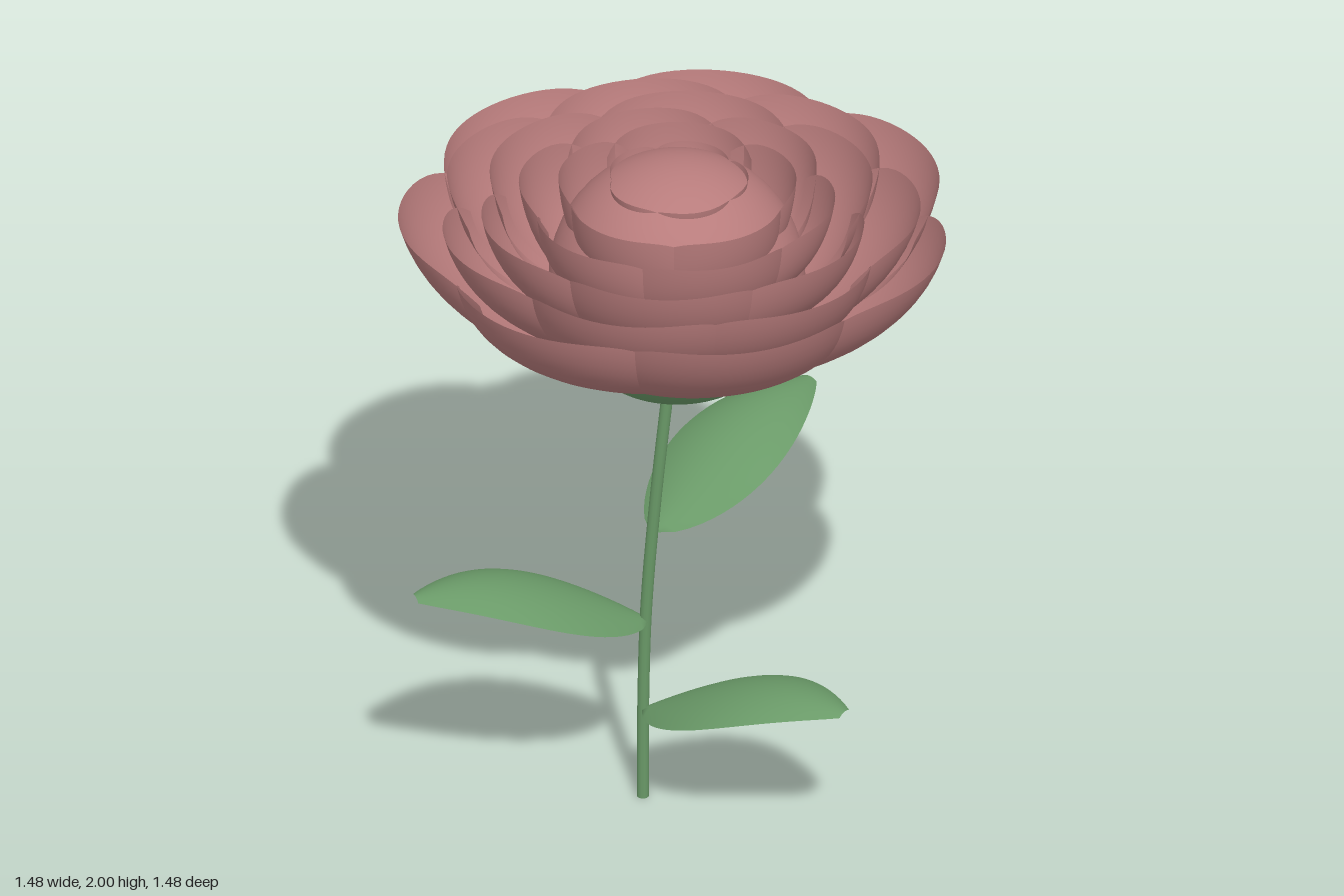
import * as THREE from 'three';
import { ParametricGeometry } from 'three/addons/geometries/ParametricGeometry.js';

const pink = new THREE.MeshStandardMaterial({ color: 0xb87c7c, side: THREE.DoubleSide });
pink.name = 'petalPink';
const green = new THREE.MeshStandardMaterial({ color: 0x6a9a68, side: THREE.DoubleSide });
green.name = 'leafGreen';

const rad = THREE.MathUtils.degToRad;
const BUD = { y: 1.655, r: 0.345 };

function add(parent, name, geometry, material) {
  const mesh = new THREE.Mesh(geometry, material);
  mesh.name = name;
  parent.add(mesh);
  return mesh;
}

// One cupped petal around +x: u runs across it, v from base to rim
function petalGeometry({ R, Y, rb, y0, n }) {
  const half = Math.PI / n * 1.2;
  return new ParametricGeometry((s, t, p) => {
    const u = s * 2 - 1;
    const v = t * (1 - 0.13 * Math.pow(Math.abs(u), 5)); // rounded rim corners
    const r = (rb + (R - rb) * Math.sin(v * 1.3) / Math.sin(1.3)) * (1 - 0.13 * u * u * v);
    const y = y0 + (Y - y0) * Math.pow(v, 1.8);
    p.set(r * Math.cos(u * half), y, r * Math.sin(u * half));
  }, 24, 14);
}

// Arched leaf pointing along +x from its base, edges drooping
function leafGeometry(length, rise, halfWidth) {
  return new ParametricGeometry((s, t, p) => {
    const u = s * 2 - 1;
    const w = halfWidth * Math.pow(Math.sin(Math.PI * (0.015 + 0.955 * Math.pow(t, 0.85))), 0.8);
    const k = w / halfWidth;
    const y = rise * (Math.sin(t * 1.95) / Math.sin(1.95)) - 0.05 * u * u * k;
    p.set(length * t, y, u * w);
  }, 12, 24);
}

export function createModel() {
  const model = new THREE.Group();
  model.name = 'flower';

  // Round bud in the middle of the bloom
  add(model, 'bud', new THREE.SphereGeometry(BUD.r, 48, 32), pink).position.y = BUD.y;

  // Rings of overlapping petals, outside to inside; a = angle of one overlap
  const rings = [
    { R: 0.75, Y: 1.85, rb: 0.27, y0: 1.515, n: 7, a: 84 },
    { R: 0.655, Y: 1.88, rb: 0.27, y0: 1.57, n: 7, a: 64 },
    { R: 0.545, Y: 1.905, rb: 0.28, y0: 1.63, n: 6, a: 110 },
    { R: 0.43, Y: 1.925, rb: 0.27, y0: 1.69, n: 6, a: 28 },
    { R: 0.325, Y: 1.94, rb: 0.24, y0: 1.74, n: 5, a: 292 },
    { R: 0.192, Y: 1.962, rb: 0.13, y0: 1.85, n: 5, a: 20 },
  ];
  rings.forEach((ring, i) => {
    const group = new THREE.Group();
    group.name = 'petalRing' + (i + 1);
    const geometry = petalGeometry(ring);
    for (let k = 0; k < ring.n; k++) {
      const petal = add(group, 'petal', geometry, pink);
      petal.rotation.y = -(rad(ring.a) + (k + 0.5) * Math.PI * 2 / ring.n);
    }
    model.add(group);
  });

  // Scalloped green band hugging the underside of the bud
  add(model, 'calyx', new ParametricGeometry((s, t, p) => {
    const a = s * Math.PI * 2;
    const top = 1.453 + 0.009 * Math.cos(a * 20);
    const y = 1.375 + (top - 1.375) * t;
    const r = Math.sqrt(BUD.r ** 2 - (y - BUD.y) ** 2) + 0.007;
    p.set(r * Math.cos(a), y, r * Math.sin(a));
  }, 160, 6), green);

  // Gently curved stem with a closed foot
  const path = new THREE.CatmullRomCurve3([
    [-0.098, 0, -0.01], [-0.095, 0.3, -0.003], [-0.085, 0.6, 0.003],
    [-0.057, 0.95, 0.01], [-0.018, 1.34, 0.01],
  ].map((q) => new THREE.Vector3(...q)));
  add(model, 'stem', new THREE.TubeGeometry(path, 40, 0.0165, 12), green);
  const foot = add(model, 'stemFoot', new THREE.CircleGeometry(0.0165, 12), green);
  foot.rotation.x = Math.PI / 2;
  foot.position.set(-0.098, 0.001, -0.01);

  // Three leaves spiralling up the stem
  [
    { at: [-0.09, 0.285, 0], a: 16, len: 0.63 },
    { at: [-0.085, 0.565, 0], a: 147, len: 0.65 },
    { at: [-0.065, 0.85, 0.005], a: -65, len: 0.645 },
  ].forEach(({ at, a, len }) => {
    const leaf = add(model, 'leaf', leafGeometry(len, 0.185, 0.165), green);
    leaf.position.set(...at);
    leaf.rotation.y = -rad(a);
  });

  return model;
}
